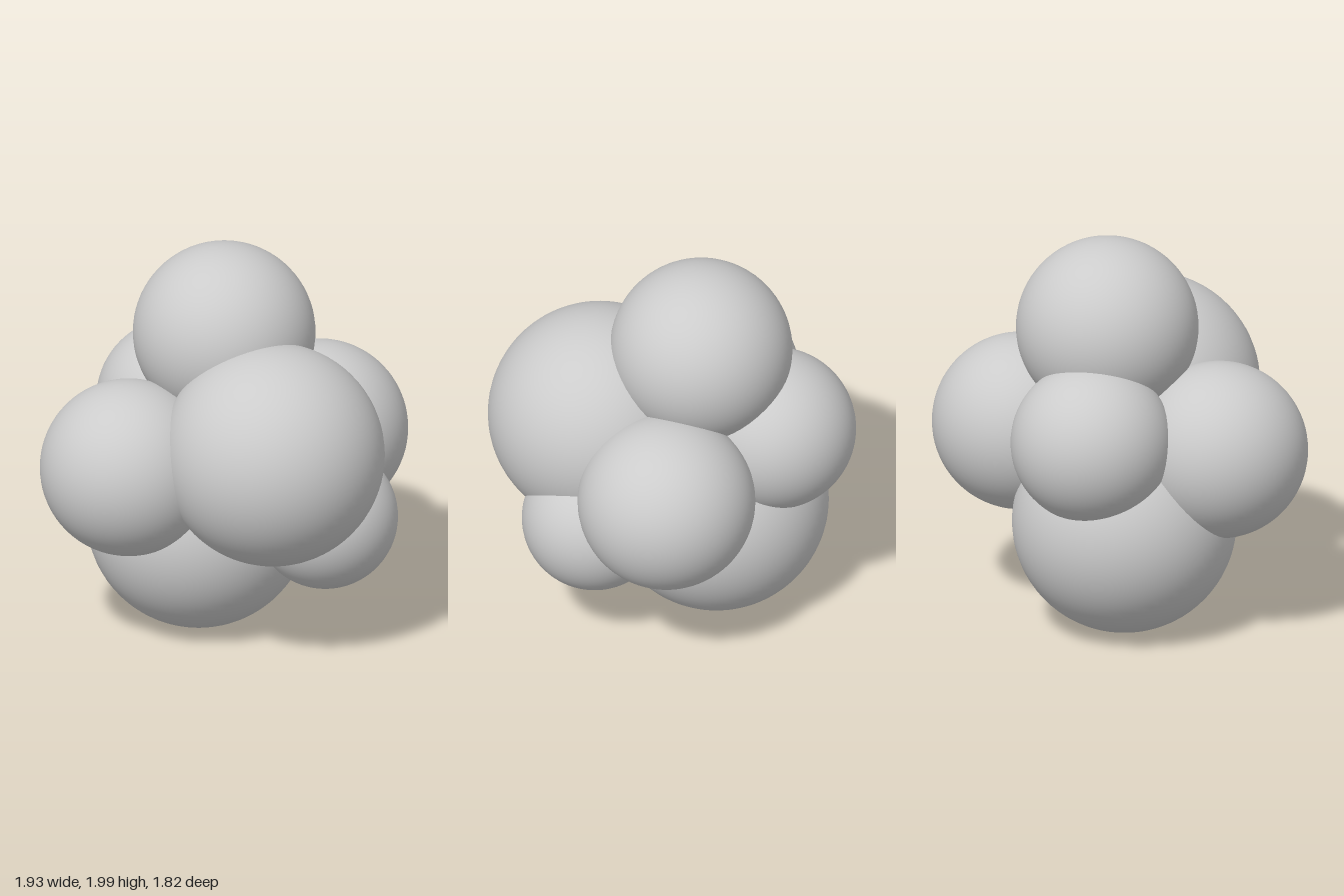
import * as THREE from 'three';

// Cluster of overlapping smooth spheres: name, radius, centre
const LOBES = [
  ['topLobe', 0.452, [0.05, 1.548, -0.145]],
  ['frontLobe', 0.554, [-0.052, 1.08, 0.357]],
  ['leftLobe', 0.44, [0.522, 0.96, 0.022]],
  ['rightLobe', 0.44, [-0.525, 0.96, -0.19]],
  ['backLobe', 0.402, [0.052, 1.068, -0.51]],
  ['bottomLobe', 0.556, [-0.052, 0.562, -0.22]],
  ['smallFrontLobe', 0.36, [0.265, 0.67, 0.38]],
];

export function createModel() {
  const group = new THREE.Group();
  group.name = 'sphereCluster';
  const material = new THREE.MeshStandardMaterial({ color: 0xcccccc });
  for (const [name, radius, centre] of LOBES) {
    const lobe = new THREE.Mesh(new THREE.SphereGeometry(radius, 64, 40), material);
    lobe.name = name;
    lobe.position.set(...centre);
    group.add(lobe);
  }
  return group;
}
